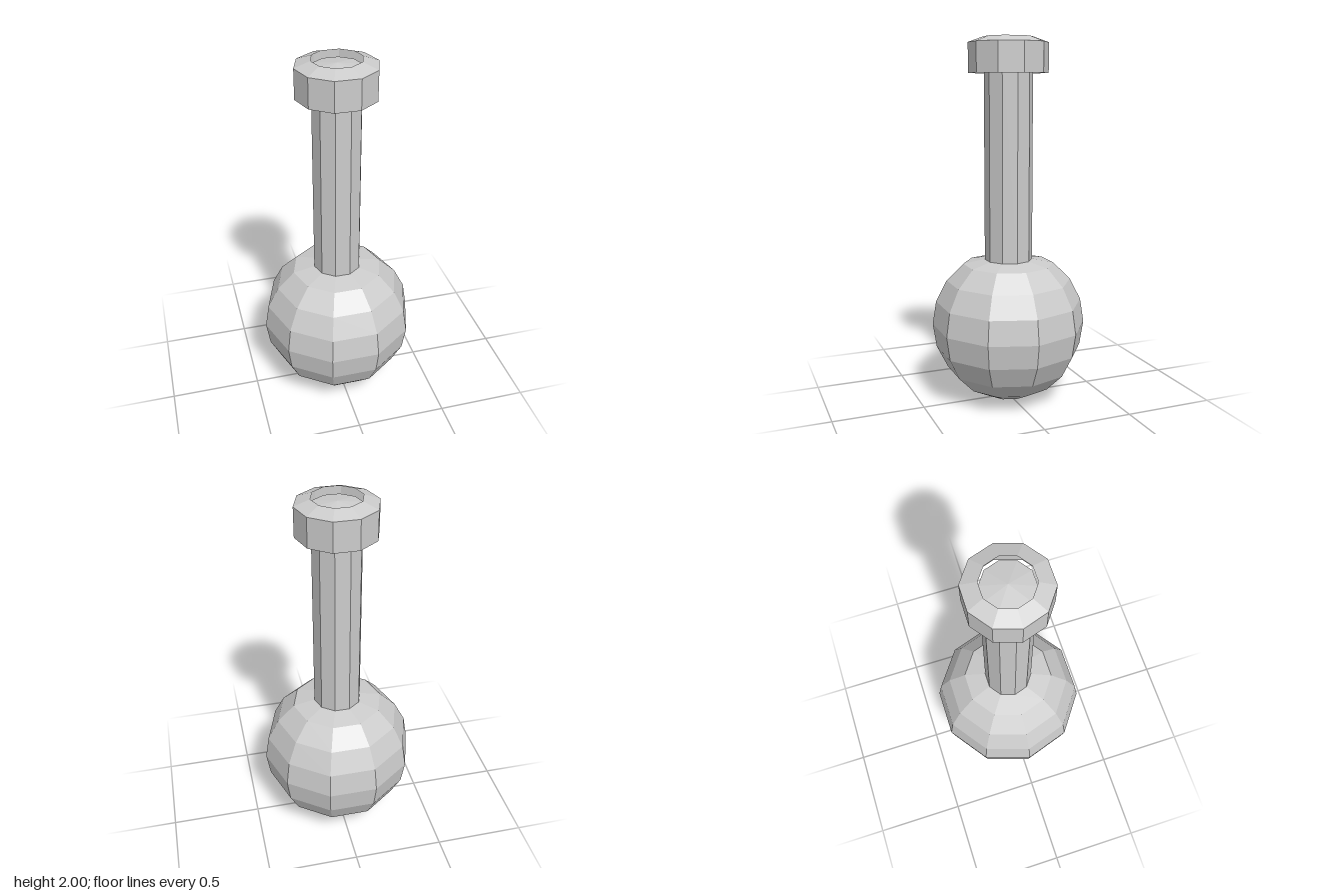
import * as THREE from 'three';

const SIDES = 10;

// Faceted solid of revolution with corners on the x axis
function turned(name, profile) {
  const points = profile.map(([r, y]) => new THREE.Vector2(r, y));
  const mesh = new THREE.Mesh(
    new THREE.LatheGeometry(points, SIDES, Math.PI / 2),
    new THREE.MeshStandardMaterial({ color: 0xcccccc, flatShading: true, side: THREE.DoubleSide })
  );
  mesh.name = name;
  return mesh;
}

export function createModel() {
  const group = new THREE.Group();
  group.name = 'flask';

  // Round bulb: rings every 18 degrees, open where the neck begins
  const radius = 0.425, centre = 0.43, neckRadius = 0.131;
  const bulb = [];
  for (let i = 0; i <= 8; i++) {
    const a = (i * Math.PI) / 10;
    bulb.push([radius * Math.sin(a), centre - radius * Math.cos(a)]);
  }
  bulb.push([neckRadius, 0.798]);
  group.add(turned('bulb', bulb));

  // Straight neck closed by a shallow domed top
  group.add(turned('neck', [[neckRadius, 0.798], [neckRadius, 1.96]]));
  group.add(turned('stopper', [[neckRadius, 1.96], [0, 1.98]]));

  // Lip: a collar with a bevelled top around the mouth
  group.add(turned('lip', [[0.215, 1.81], [0.215, 1.97], [neckRadius, 2.0]]));

  return group;
}
